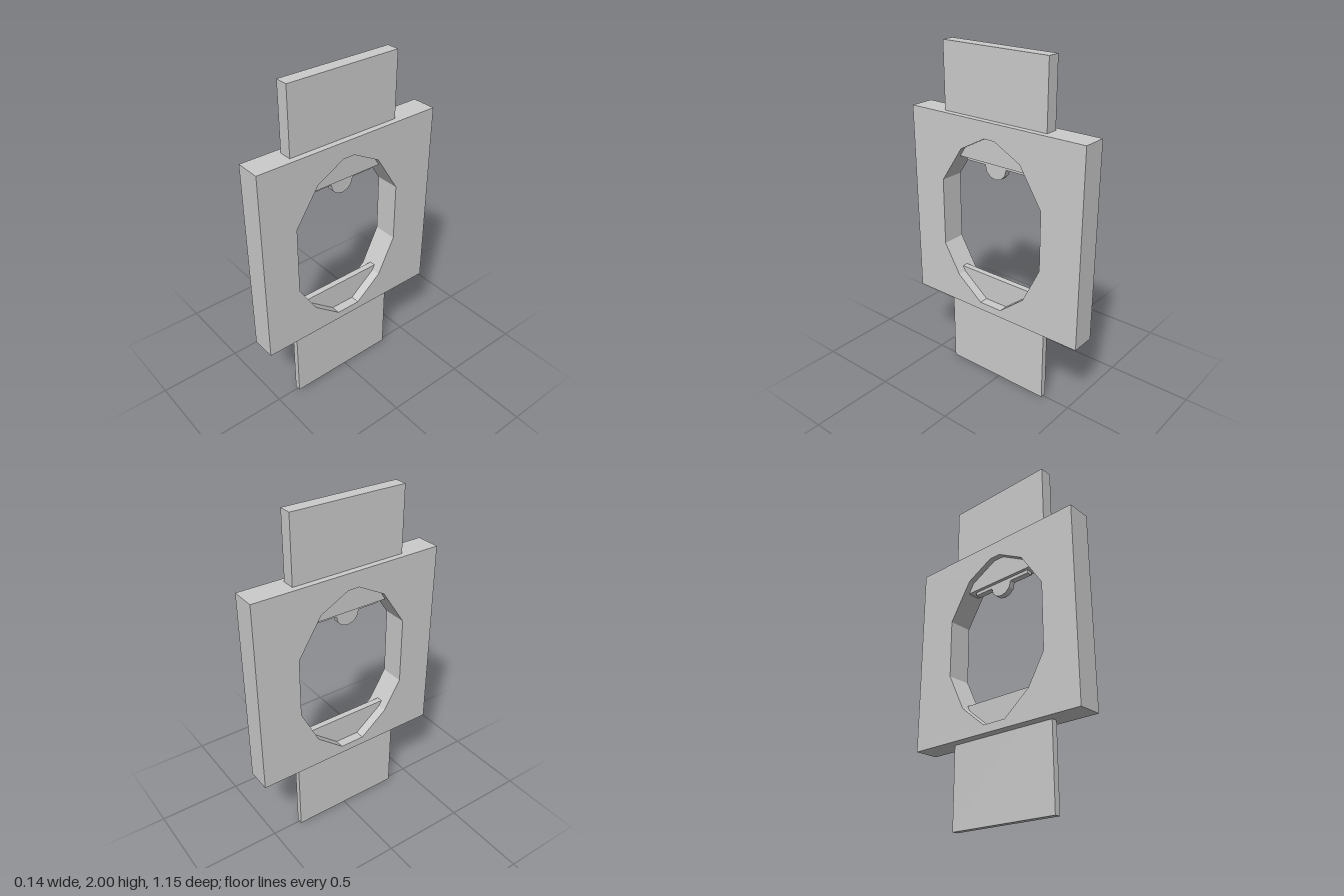
import * as THREE from 'three';

const material = new THREE.MeshStandardMaterial({ color: 0xcccccc, flatShading: true });
const toPoints = (list) => list.map(([z, y]) => new THREE.Vector2(z, y));

// Extrudes a (z, y) outline across x, centred on the plate's middle plane
function plate(name, outline, thickness, hole) {
  const shape = new THREE.Shape(toPoints(outline));
  if (hole) shape.holes.push(new THREE.Path(toPoints(hole)));
  const geometry = new THREE.ExtrudeGeometry(shape, { depth: thickness, bevelEnabled: false });
  geometry.translate(0, 0, -thickness / 2);
  geometry.rotateY(-Math.PI / 2);
  const mesh = new THREE.Mesh(geometry, material);
  mesh.name = name;
  return mesh;
}

const rectangle = (z0, z1, y0, y1) => [[z0, y0], [z1, y0], [z1, y1], [z0, y1]];

export function createModel() {
  const model = new THREE.Group();
  model.name = 'framedPlate';

  // Square frame with a faceted oval opening
  const opening = [
    [0.055, 1.525], [-0.015, 1.525], [-0.183, 1.436], [-0.323, 1.214],
    [-0.323, 0.866], [-0.215, 0.647], [-0.055, 0.517], [0.093, 0.517],
    [0.257, 0.647], [0.361, 0.822], [0.361, 1.224], [0.22, 1.436],
  ];
  model.add(plate('frame', rectangle(-0.576, 0.576, 0.47, 1.62), 0.145, opening));

  // Upper and lower blades, each reaching into the opening
  model.add(plate('upperBlade', rectangle(-0.324, 0.36, 1.38, 2), 0.075));
  model.add(plate('lowerBlade', rectangle(-0.324, 0.36, 0, 0.677), 0.036));

  // Thin lip with a rounded tongue under the upper blade
  const lip = [[-0.178, 1.42], [-0.178, 1.36], [-0.05, 1.36]];
  for (let i = 0; i <= 6; i++) {
    const a = (i / 6) * Math.PI;
    lip.push([0.021 - 0.071 * Math.cos(a), 1.355 - 0.067 * Math.sin(a)]);
  }
  lip.push([0.092, 1.36], [0.22, 1.36], [0.22, 1.42]);
  model.add(plate('lipWithTongue', lip, 0.036));

  model.position.x = -0.002;
  return model;
}
